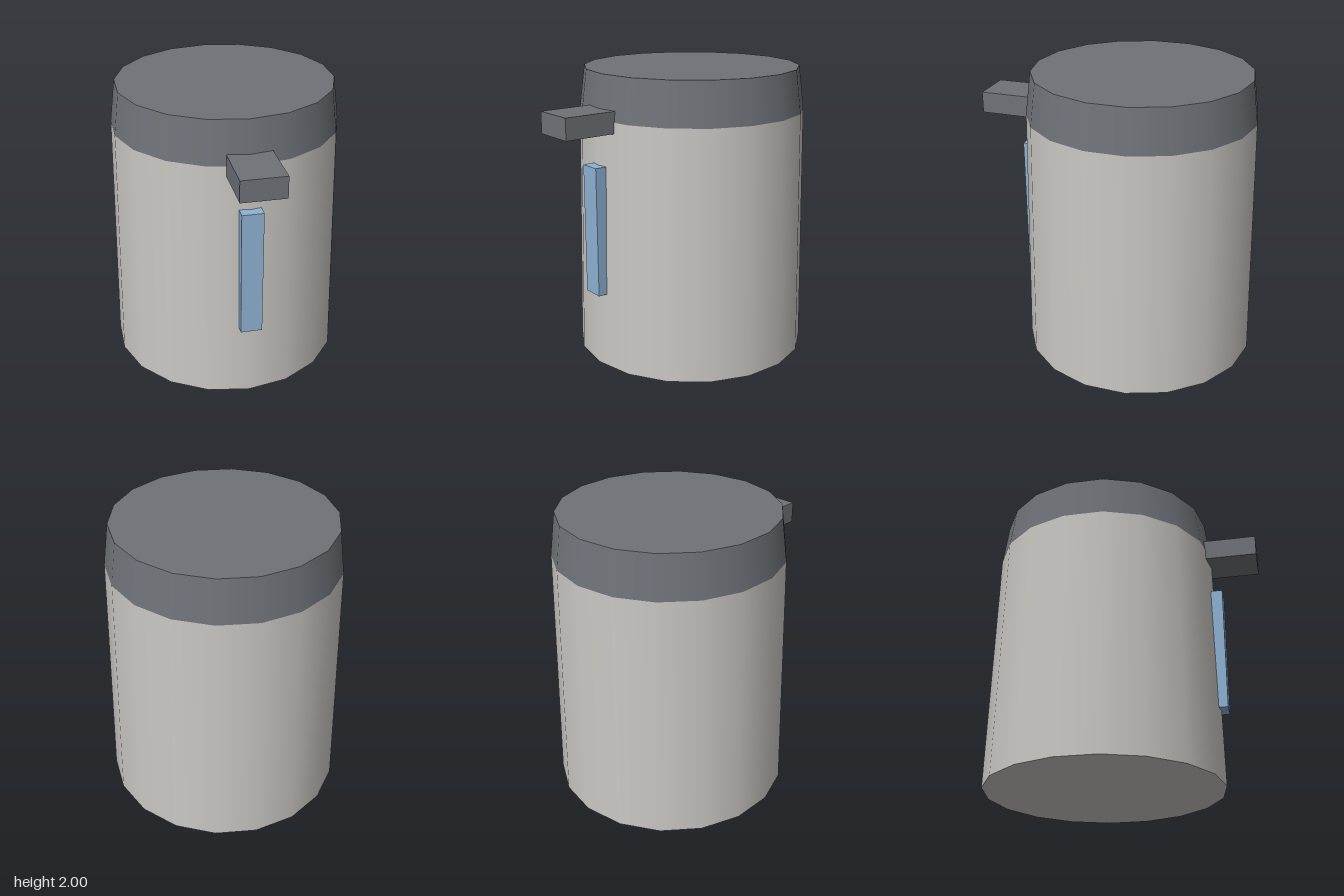
import * as THREE from 'three';

const SIDES = 18;
const CENTRE_Z = -0.147;

export function createModel() {
  const model = new THREE.Group();
  model.name = 'dispenserCan';

  const paint = (name, color) => {
    const material = new THREE.MeshStandardMaterial({ color });
    material.name = name;
    return material;
  };
  const shell = paint('warm light grey', 0xc9c7c2);
  const dark = paint('slate grey', 0x6e7278);
  const blue = paint('window blue', 0x8db1d3);

  const add = (name, geometry, material, y, z) => {
    const mesh = new THREE.Mesh(geometry, material);
    mesh.name = name;
    mesh.position.set(0, y, z);
    model.add(mesh);
  };

  // Tapered drum section between two heights
  const drum = (name, material, rBottom, rTop, y0, y1) =>
    add(name, new THREE.CylinderGeometry(rTop, rBottom, y1 - y0, SIDES), material, (y0 + y1) / 2, CENTRE_Z);

  // Block running from inside the drum out to the front
  const block = (name, material, width, y0, y1, z0, z1) =>
    add(name, new THREE.BoxGeometry(width, y1 - y0, z1 - z0), material, (y0 + y1) / 2, (z0 + z1) / 2);

  drum('body', shell, 0.813, 0.778, 0, 1.707);
  drum('lid', dark, 0.778, 0.74, 1.707, 2);
  block('spout', dark, 0.294, 1.635, 1.78, 0.5, 0.963);
  block('levelWindow', blue, 0.146, 0.523, 1.408, 0.56, 0.705);

  return model;
}
